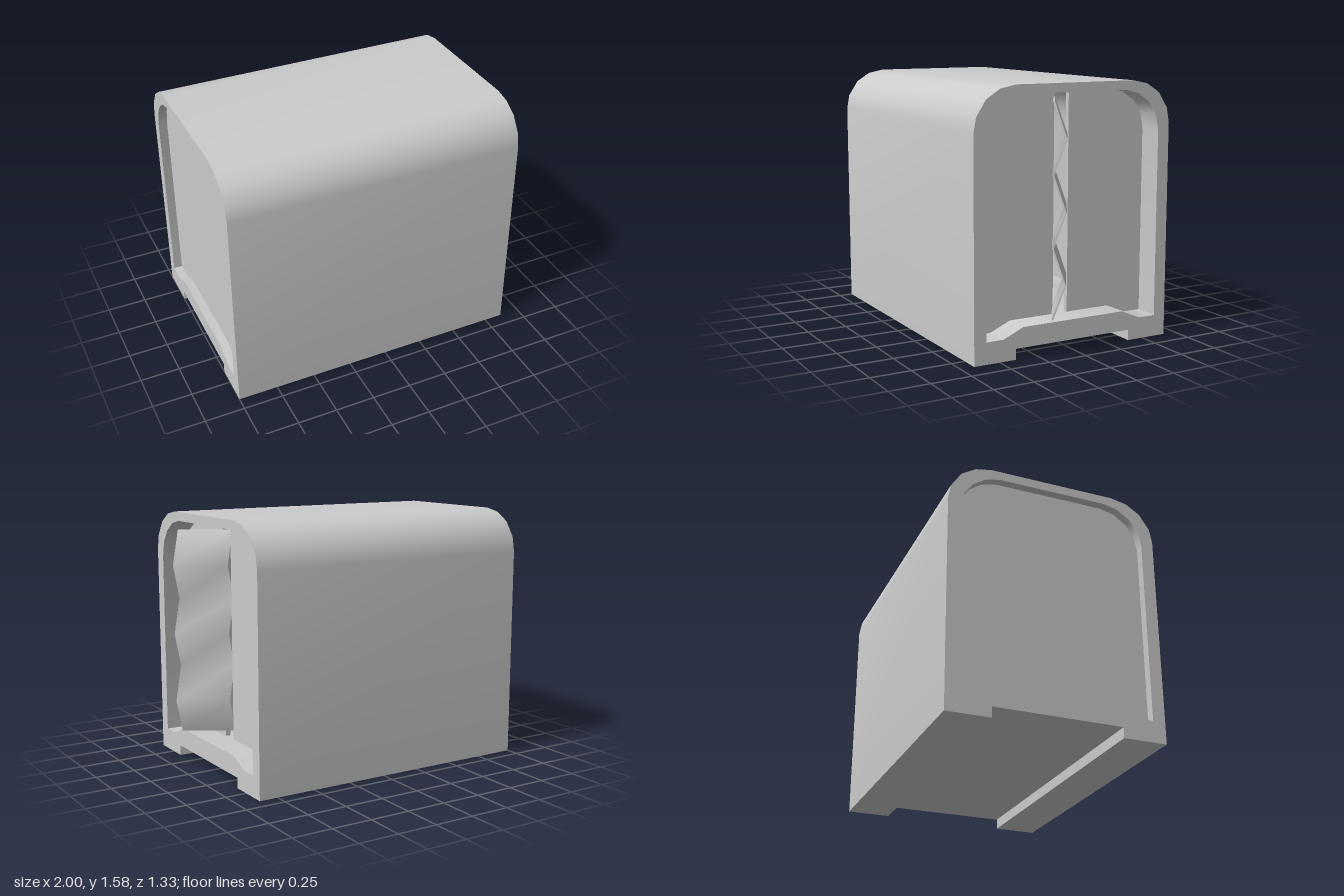
import * as THREE from 'three';
import { toCreasedNormals } from 'three/addons/utils/BufferGeometryUtils.js';

const grey = new THREE.MeshStandardMaterial({ color: 0xcccccc });

// Half profiles (z, y), listed from the bottom centre up to the top centre
const OUTER = [[0.395, 0.065], [0.395, 0], [0.665, 0], [0.665, 1.32], [0.648, 1.41],
  [0.585, 1.505], [0.497, 1.56], [0.397, 1.58]];
const INNER = [[0.345, 0.188], [0.475, 0.132], [0.587, 0.132], [0.587, 1.278], [0.567, 1.375],
  [0.513, 1.45], [0.434, 1.504], [0.342, 1.525]];

const toPoints = (list) => list.map(([z, y]) => new THREE.Vector2(z, y));
const mirrored = (half) => toPoints([...half, ...half.map(([z, y]) => [-z, y]).reverse()]);

// Extrude a (z, y) outline along x between two positions
function extrudeX(shape, x0, x1) {
  const geo = new THREE.ExtrudeGeometry(shape, { depth: x1 - x0, bevelEnabled: false });
  geo.rotateY(Math.PI / 2);
  geo.translate(x0, 0, 0);
  return toCreasedNormals(geo, 0.5);
}

function addMesh(group, name, geometry) {
  const mesh = new THREE.Mesh(geometry, grey);
  mesh.name = name;
  group.add(mesh);
}

// Pleated curtain: a thin slab whose alternate rows step sideways
function curtainGeometry() {
  const rows = 6, bottom = 0.225, height = 1.26;
  const start = new THREE.Vector2(0.66, 0.018), end = new THREE.Vector2(0.94, 0.195);
  const along = end.clone().sub(start);
  const length = along.length();
  along.normalize();
  const geo = new THREE.BoxGeometry(length, height, 0.01, 1, rows, 1);
  const p = geo.attributes.position;
  for (let i = 0; i < p.count; i++) {
    const s = p.getX(i) + length / 2, t = p.getZ(i);
    const row = Math.round((p.getY(i) / height + 0.5) * rows);
    const fold = row % 2;
    p.setXYZ(i,
      start.x + along.x * s - along.y * t + fold * 0.06,
      bottom + (row / rows) * height,
      start.y + along.y * s + along.x * t - fold * 0.048);
  }
  geo.computeVertexNormals();
  return geo;
}

export function createModel() {
  const model = new THREE.Group();
  model.name = 'shelter';

  // Hollow shell with two runners underneath
  const shell = new THREE.Shape(mirrored(OUTER));
  shell.holes.push(new THREE.Path(mirrored(INNER)));
  addMesh(model, 'shell', extrudeX(shell, -1, 0.868));

  // Closed rear end, slightly recessed
  addMesh(model, 'endWall', extrudeX(new THREE.Shape(mirrored(INNER)), -0.945, -0.915));

  // Two panels leaving a narrow slot at the open end
  const half = [[0.05, 0.188], ...INNER, [0.05, 1.525]];
  for (const side of [-1, 1]) {
    const outline = new THREE.Shape(toPoints(half.map(([z, y]) => [z * side, y])));
    addMesh(model, side < 0 ? 'frontPanel' : 'backPanel', extrudeX(outline, 0.68, 0.71));
  }

  // Curtain swinging out through the slot
  addMesh(model, 'curtain', curtainGeometry());
  return model;
}
